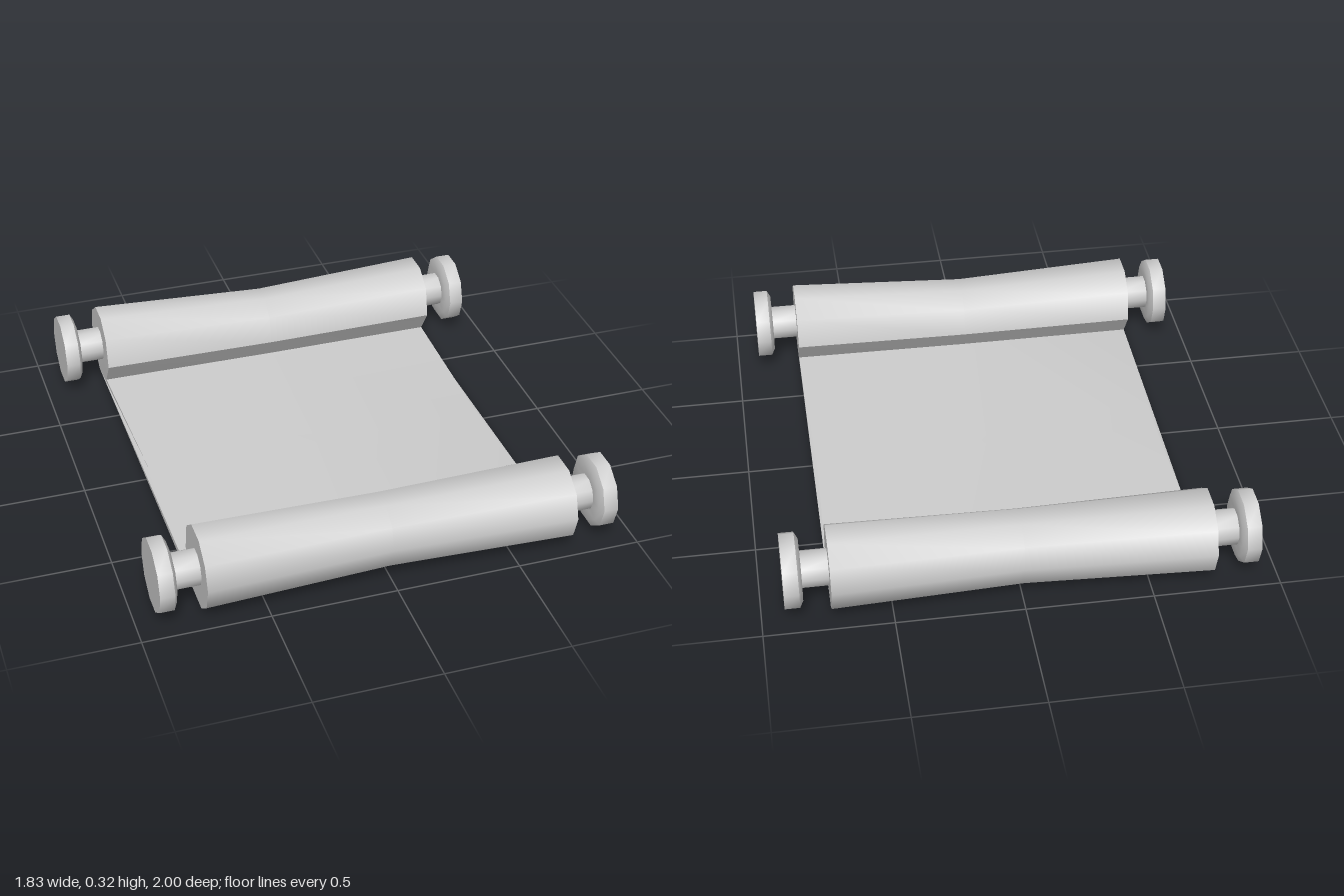
import * as THREE from 'three';
import { toCreasedNormals } from 'three/addons/utils/BufferGeometryUtils.js';

const CENTER_Z = 0.835, CENTER_Y = 0.17, SHIFT_X = -0.004;

// Half of the closed scroll section as [z, y]: underside, roll, sheet top
const HALF = [
  [0, 0], [0.885, 0.007], [0.968, 0.073], [1, 0.17], [0.968, 0.265], [0.886, 0.325],
  [0.778, 0.325], [0.696, 0.262], [0.668, 0.14], [0.74, 0.036], [0, 0.036],
];

// Section at a station; the rolls slim down towards the middle
function section(middle) {
  const half = HALF.map(([z, y]) => (middle && z > 0
    ? [0.67 + (z - 0.67) * 0.88, 0.012 + (y - 0.007) * 0.915]
    : [z, y]));
  const mirrored = half.slice(1, -1).reverse().map(([z, y]) => [-z, y]);
  return [...half, ...mirrored];
}

// Paper: one solid lofted across x, both rolls and the sheet between them
function paperGeometry() {
  const stations = [-0.738, 0, 0.738];
  const rings = stations.map((x) => section(x === 0));
  const n = rings[0].length;
  const positions = [], index = [];
  rings.forEach((ring, s) => ring.forEach(([z, y]) => {
    const pinch = z === 0 ? 0.975 : 1;
    positions.push(stations[s] * pinch + SHIFT_X, y, z);
  }));
  for (let s = 0; s < stations.length - 1; s++) {
    for (let i = 0; i < n; i++) {
      const a = s * n + i, b = s * n + (i + 1) % n;
      index.push(a, a + n, b, b, a + n, b + n);
    }
  }
  // End faces
  const outline = rings[0].map(([z, y]) => new THREE.Vector2(z, y));
  const last = (stations.length - 1) * n;
  for (const tri of THREE.ShapeUtils.triangulateShape(outline, [])) {
    const [a, b, c] = THREE.ShapeUtils.area(tri.map((i) => outline[i])) > 0 ? tri : [...tri].reverse();
    index.push(a, b, c, last + a, last + c, last + b);
  }
  const geometry = new THREE.BufferGeometry();
  geometry.setAttribute('position', new THREE.Float32BufferAttribute(positions, 3));
  geometry.setIndex(index);
  return toCreasedNormals(geometry, 0.75);
}

// Handle: ten-sided shaft with a bevelled knob, pointing up before it is turned
function handleGeometry() {
  const profile = [
    [0, 0.7], [0.073, 0.7], [0.073, 0.842], [0.122, 0.842], [0.148, 0.856], [0.148, 0.914], [0, 0.914],
  ].map(([r, y]) => new THREE.Vector2(r, y));
  return toCreasedNormals(new THREE.LatheGeometry(profile, 10), 0.75);
}

export function createModel() {
  const model = new THREE.Group();
  model.name = 'scroll';
  const grey = new THREE.MeshStandardMaterial({ color: 0xcccccc });
  grey.name = 'plain grey';

  const paper = new THREE.Mesh(paperGeometry(), grey);
  paper.name = 'paper';
  model.add(paper);

  // Four handles, one at each end of both rolls
  const geometry = handleGeometry();
  for (const side of [1, -1]) {
    for (const end of [1, -1]) {
      const handle = new THREE.Mesh(geometry, grey);
      handle.name = `${end > 0 ? 'front' : 'back'}${side > 0 ? 'Left' : 'Right'}Handle`;
      handle.rotation.z = -side * Math.PI / 2;
      handle.position.set(SHIFT_X, CENTER_Y, end * CENTER_Z);
      model.add(handle);
    }
  }
  return model;
}
